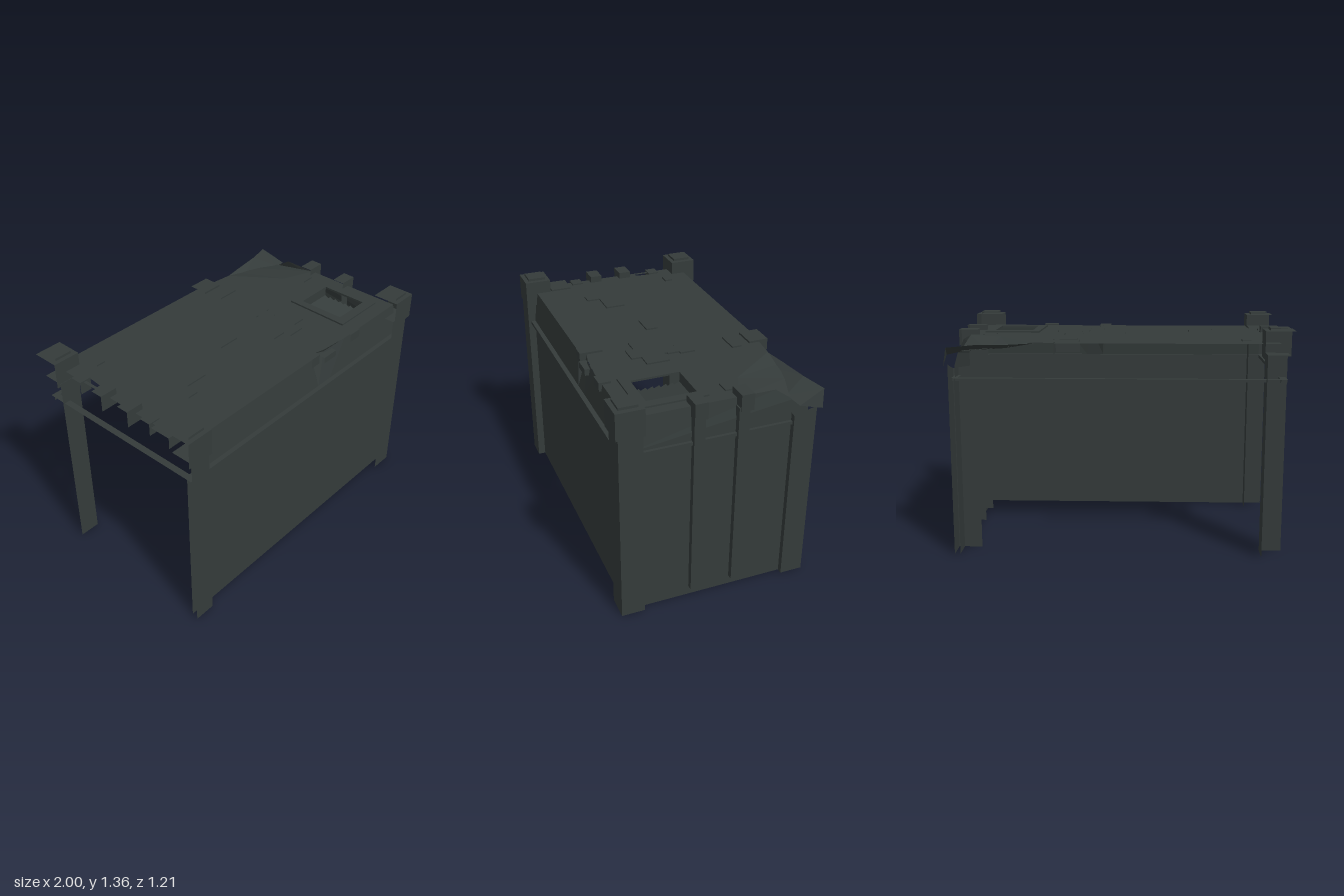
import * as THREE from 'three';

export function createModel() {
  const root = new THREE.Group();
  root.name = 'damagedContainer';
  const steel = new THREE.MeshStandardMaterial({ color: 0x343b3a, side: THREE.DoubleSide });
  steel.name = 'darkSteel';

  const add = (name, geo) => {
    const m = new THREE.Mesh(geo, steel);
    m.name = name;
    root.add(m);
    return m;
  };
  // Box shell keeping only its +x, +y and +z faces
  const shell = (name, x0, x1, y0, y1, z0, z1) => {
    const g = new THREE.BoxGeometry(x1 - x0, y1 - y0, z1 - z0);
    const i = Array.from(g.index.array);
    g.setIndex([...i.slice(0, 6), ...i.slice(12, 18), ...i.slice(24, 30)]);
    g.clearGroups();
    g.translate((x0 + x1) / 2, (y0 + y1) / 2, (z0 + z1) / 2);
    return add(name, g);
  };
  // Flat-shaded sheet made of corner loops, each fanned into triangles
  const sheet = (name, ...loops) => {
    const p = [];
    for (const l of loops)
      for (let i = 1; i < l.length - 1; i++) p.push(...l[0], ...l[i], ...l[i + 1]);
    const g = new THREE.BufferGeometry();
    g.setAttribute('position', new THREE.Float32BufferAttribute(p, 3));
    g.computeVertexNormals();
    return add(name, g);
  };
  const outline = (pts) => pts.map(([a, b]) => new THREE.Vector2(a, b));
  const rect = (a0, a1, b0, b1) => outline([[a0, b0], [a1, b0], [a1, b1], [a0, b1]]);

  const X0 = -0.97, X1 = 0.955, Z0 = -0.56, Z1 = 0.57;   // outer edge of the trim
  const x0 = -0.93, x1 = 0.92, z0 = -0.53, z1 = 0.52;    // roof edge
  const wx = 0.937, wz = 0.542;                          // wall planes
  const yL = 1.04, yU = 1.06, R = 1.26;

  // Lower walls on the front and one end
  sheet('frontWall', [[X0, 0, wz], [wx, 0, wz], [wx, yU, wz], [X0, yU, wz]]);
  sheet('endWall', [[wx, 0, wz], [wx, 0, Z0], [wx, yU, Z0], [wx, yU, wz]]);

  // Trim rails running all round below the roof
  shell('trimRail', X0, X1, yL, yU, z1, Z1);
  shell('trimRail', X0, X1, yL, yU, Z0, z0);
  shell('trimRail', x1, X1, yL, yU, Z0, Z1);
  shell('trimRail', X0, x0, yL, yU, Z0, Z1);

  // Upper panels leaning in to the roof edge; the end one sags at the broken corner
  sheet('upperFrontPanel',
    [[x0, yU, wz], [0.14, yU, wz], [0.09, R, z1], [x0, R, z1]],
    [[0.39, yU, wz], [wx, yU, wz], [x1, R, z1], [0.40, R, z1]]);
  sheet('upperEndPanel', [[wx, yU, wz], [wx, yU, z0], [wx, 1.13, z0], [wx, 1.19, -0.43], [x1, R, -0.33], [x1, R, z1]]);
  sheet('dentedFrontPanel',
    [[0.09, R, z1], [0.14, yU, wz], [0.13, R, 0.48]],
    [[0.14, yU, wz], [0.25, yU, wz], [0.22, 1.25, 0.505], [0.13, R, 0.48]],
    [[0.25, yU, wz], [0.39, yU, wz], [0.40, R, z1], [0.22, 1.25, 0.505]]);

  // Roof with hatch opening, edge hole, dented front and missing corner (shape y is -z)
  const roof = new THREE.Shape(outline([
    [x0, -z1], [0.09, -z1], [0.13, -0.48], [0.22, -0.505], [0.40, -z1], [x1, -z1],
    [x1, 0.12], [0.72, 0.2], [0.5, 0.5], [0.36, 0.515], [0.36, -z0], [x0, -z0]]));
  const hatchHole = new THREE.Path(rect(0.56, 0.80, -0.37, -0.08));
  roof.holes.push(hatchHole);
  roof.holes.push(new THREE.Path(outline([[-0.91, 0.2], [-0.89, 0.2], [-0.88, 0.29], [-0.91, 0.29]])));
  const roofGeo = new THREE.ShapeGeometry(roof);
  roofGeo.rotateX(-Math.PI / 2);
  add('roof', roofGeo).position.y = R;

  // Sagging roof corner and the torn strip curling off it
  sheet('saggingRoof',
    [[x1, R, -0.12], [0.72, R, -0.2], [0.76, 1.22, -0.48], [x1, 1.20, -0.43]],
    [[0.72, R, -0.2], [0.5, R, -0.5], [0.62, 1.235, -0.495], [0.76, 1.22, -0.48]]);
  sheet('tornStrip',
    [[0.48, 1.255, -0.5], [0.65, 1.225, -0.48], [0.82, 1.25, -0.555], [0.63, 1.25, -0.53]],
    [[0.65, 1.225, -0.48], [0.90, 1.20, -0.41], [0.82, 1.25, -0.555]],
    [[0.90, 1.20, -0.41], [0.97, 1.24, -0.60], [0.82, 1.25, -0.555]],
    [[0.90, 1.20, -0.41], [1.0, 1.18, -0.44], [0.97, 1.24, -0.60]],
    [[1.0, 1.18, -0.44], [0.99, 1.13, -0.59], [0.97, 1.24, -0.60]]);

  // Corner posts; the broken corner's post is cut short at a slant
  shell('cornerPost', -0.98, -0.85, 0, 1.2, 0.45, 0.588);
  shell('cornerPost', 0.83, 0.975, 0, 1.2, 0.45, 0.588);
  shell('cornerPost', -0.98, -0.85, 0, 1.2, -0.57, -0.44);
  sheet('brokenPost',
    [[0.97, 0, -0.43], [0.97, 0, -0.567], [0.97, 1.14, -0.567], [0.97, 1.10, -0.43]],
    [[0.83, 0, -0.43], [0.97, 0, -0.43], [0.97, 1.10, -0.43], [0.83, 1.12, -0.43]]);

  // Corner caps with a raised plate on top
  for (const [cx, cz] of [[-0.915, 0.51], [0.903, 0.523], [-0.915, -0.525]]) {
    shell('cornerCap', cx - 0.085, cx + 0.085, 1.18, 1.34, cz - 0.082, cz + 0.082);
    shell('capPlate', cx - 0.055, cx + 0.055, 1.34, 1.355, cz - 0.055, cz + 0.055);
  }

  // Ribs passing through the end wall, and blocks along both ends
  for (const z of [0.132, -0.125]) shell('rib', 0.865, 0.972, 0.06, 1.22, z - 0.032, z + 0.032);
  for (const z of [0.128, -0.137]) shell('ribBlock', 0.865, 0.98, 1.2, 1.3, z - 0.038, z + 0.038);
  for (const z of [0.093, -0.112]) shell('edgeBlock', -0.99, -0.88, 1.2, 1.3, z - 0.038, z + 0.038);
  for (const z of [0.225, -0.325]) shell('smallEdgeBlock', -0.955, -0.88, 1.19, 1.268, z - 0.035, z + 0.035);
  shell('edgePlate', -0.97, -0.83, 1.2, 1.27, 0.29, 0.42);
  shell('backBlock', 0.22, 0.36, 1.2, 1.272, -0.57, -0.45);
  shell('frontBlock', 0.08, 0.15, 1.21, 1.272, 0.39, 0.53);
  shell('frontBlock', 0.44, 0.53, 1.22, 1.272, 0.47, 0.54);
  shell('frontBlock', 0.18, 0.29, 1.2, 1.24, 0.5, 0.545);

  // Thin plates scattered on the roof: x0, x1, z0, z1
  for (const [a, b, c, d] of [
    [-0.78, -0.72, -0.40, -0.35], [0.24, 0.38, -0.39, -0.33], [0.23, 0.34, -0.11, -0.02],
    [-0.17, -0.03, -0.02, 0.05], [-0.58, -0.43, 0.05, 0.17], [-0.65, -0.58, 0.17, 0.25],
    [0.76, 0.84, -0.13, -0.07], [0.24, 0.32, -0.02, 0.05], [0.20, 0.31, 0.05, 0.27],
    [0.11, 0.20, 0.09, 0.22], [0.31, 0.40, 0.07, 0.21],
  ]) shell('roofPlate', a, b, R, R + 0.009, c, d);

  // Roof hatch: raised frame, shaft side and louvres
  const frame = new THREE.Shape(outline([[0.515, -0.02], [0.855, -0.03], [0.855, -0.43], [0.505, -0.43]]));
  frame.holes.push(hatchHole);
  const frameGeo = new THREE.ExtrudeGeometry(frame, { depth: 0.012, bevelEnabled: false });
  frameGeo.rotateX(-Math.PI / 2);
  add('hatchFrame', frameGeo).position.y = R - 0.002;
  sheet('hatchShaft', [[0.56, 1.18, 0.08], [0.80, 1.18, 0.08], [0.80, R, 0.08], [0.56, R, 0.08]]);
  for (let i = 0; i < 7; i++) {
    const z = 0.08 + i * 0.04;
    sheet('louvre', [[0.56, 1.21, z], [0.56, 1.19, z + 0.042], [0.80, 1.19, z + 0.042], [0.80, 1.21, z]]);
  }
  return root;
}
